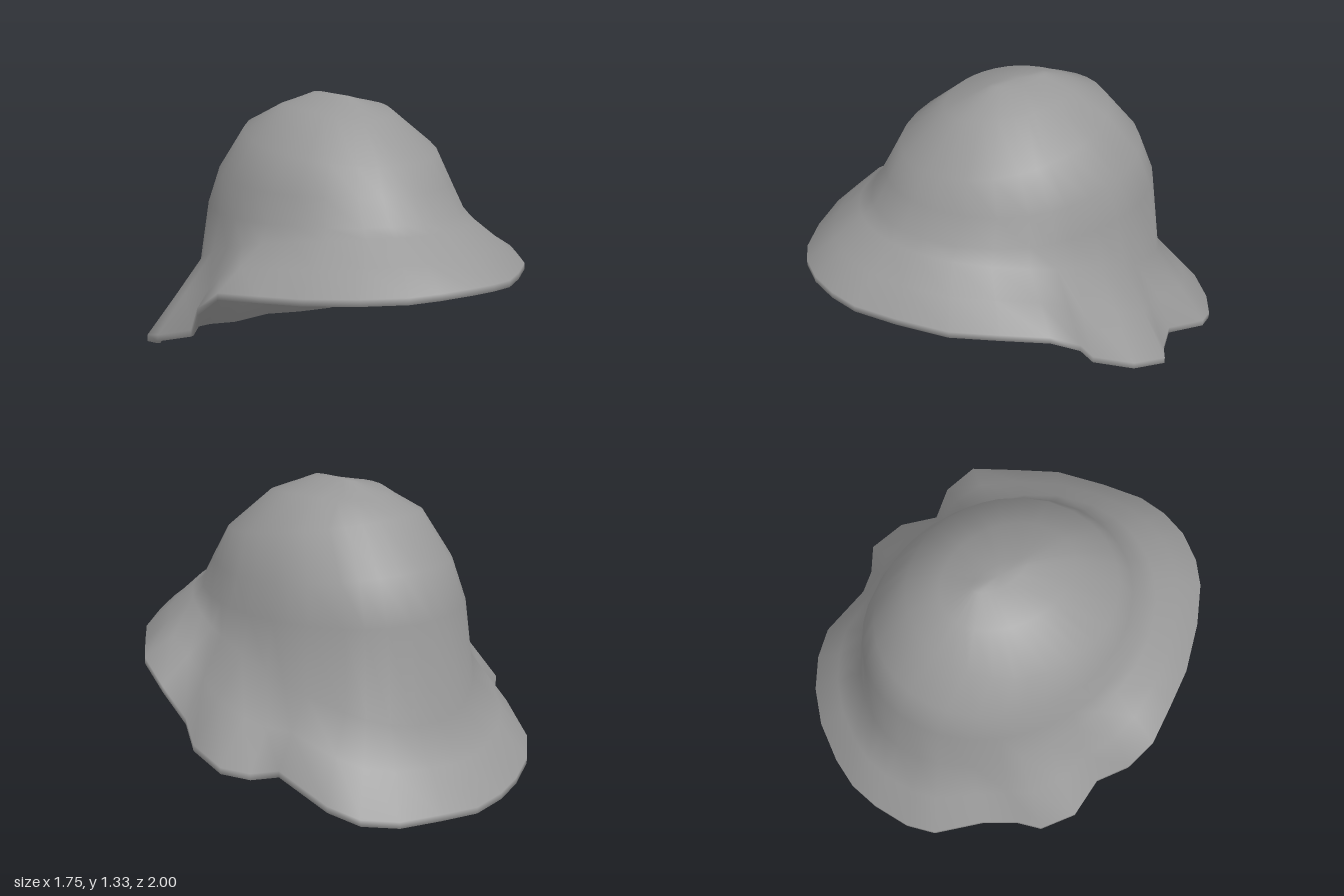
import * as THREE from 'three';

// Wavy brim edge, from front centre round the left side, the back and the right side: x, y, z
const RIM = [
  [0, 0.57, 1], [0.14, 0.565, 0.98], [0.27, 0.555, 0.93], [0.43, 0.545, 0.81],
  [0.61, 0.535, 0.65], [0.73, 0.53, 0.47], [0.845, 0.525, 0.29], [0.85, 0.43, 0.14],
  [0.8, 0.295, 0.04], [0.875, 0.245, -0.13], [0.86, 0.195, -0.31], [0.755, 0.16, -0.38],
  [0.67, 0.18, -0.47], [0.61, 0.09, -0.72], [0.52, 0.04, -0.83], [0.38, 0.02, -0.92],
  [0.2, 0.02, -0.98], [0, 0, -1],
  [-0.16, 0.015, -0.99], [-0.31, 0.025, -0.94], [-0.48, 0.045, -0.85], [-0.59, 0.09, -0.75],
  [-0.68, 0.18, -0.53], [-0.76, 0.155, -0.38], [-0.85, 0.2, -0.3], [-0.88, 0.245, -0.13],
  [-0.8, 0.295, 0.04], [-0.84, 0.43, 0.18], [-0.815, 0.525, 0.32], [-0.71, 0.53, 0.48],
  [-0.6, 0.535, 0.64], [-0.43, 0.545, 0.81], [-0.27, 0.555, 0.93], [-0.15, 0.565, 0.98],
];
const N = RIM.length;
const THICK = 0.03;

// Crown rings from top to brim: front z, y; side x, y; back z, y
const RINGS = [
  [0.1, 1.32, 0.05, 1.315, -0.17, 1.325],
  [0.32, 1.23, 0.23, 1.275, -0.31, 1.265],
  [0.52, 1.05, 0.43, 1.12, -0.45, 1.205],
  [0.595, 0.935, 0.515, 0.94, -0.62, 1.0],
  [0.67, 0.82, 0.56, 0.8, -0.7, 0.8],
  [0.73, 0.78, 0.605, 0.66, -0.75, 0.35],
];

// Ring points share the bearing of the rim points, so the folds run up into the crown
function ring([fz, fy, sx, sy, bz, by]) {
  return RIM.map(([x, , z]) => {
    const a = Math.atan2(x, z), c = Math.cos(a);
    const y = sy * (1 - c * c) + fy * (c * c + c) / 2 + by * (c * c - c) / 2;
    return [sx * Math.sin(a), y, (fz + bz) / 2 + (fz - bz) / 2 * c];
  });
}

// Skin a list of closed loops between a first and an optional last centre point
function skin(loops, first, last) {
  const points = [...loops.flat(), first];
  const top = points.length - 1;
  const end = (loops.length - 1) * N;
  const index = [];
  for (let i = 0; i < N; i++) {
    const j = (i + 1) % N;
    index.push(top, i, j);
    for (let p = 0; p < end; p += N) {
      index.push(p + i, p + N + i, p + N + j, p + i, p + N + j, p + j);
    }
    if (last) index.push(top + 1, end + j, end + i);
  }
  if (last) points.push(last);
  const geometry = new THREE.BufferGeometry();
  geometry.setAttribute('position', new THREE.Float32BufferAttribute(points.flat(), 3));
  geometry.setIndex(index);
  geometry.computeVertexNormals();
  return geometry;
}

export function createModel() {
  const group = new THREE.Group();
  group.name = 'floppyHat';
  const felt = new THREE.MeshStandardMaterial({ color: 0x999999 });
  felt.name = 'grey felt';

  // Outside: crown rings, a ring halfway down the brim, and the brim edge
  const crown = RINGS.map(ring);
  const outerRim = RIM.map(([x, y, z]) => [x, y + THICK, z]);
  const brim = outerRim.map((p, i) => p.map((v, k) => (v + crown.at(-1)[i][k]) / 2));
  const outside = [...crown, brim, outerRim];
  const peak = [0, 1.325, -0.035];

  // Lining: the outside moved inward along its normals, from the brim back up to the peak
  const normal = skin(outside, peak).getAttribute('normal');
  const lining = [...crown, brim].map((loop, r) => loop.map((p, i) =>
    p.map((v, k) => v - THICK * normal.getComponent(r * N + i, k))));
  const innerRim = RIM.map(([x, y, z]) => [x * 0.985, y + 0.002, z * 0.985]);

  const hat = new THREE.Mesh(
    skin([...outside, RIM, innerRim, ...lining.reverse()], peak, [0, peak[1] - THICK, peak[2]]), felt);
  hat.name = 'crownAndBrim';
  group.add(hat);
  return group;
}
